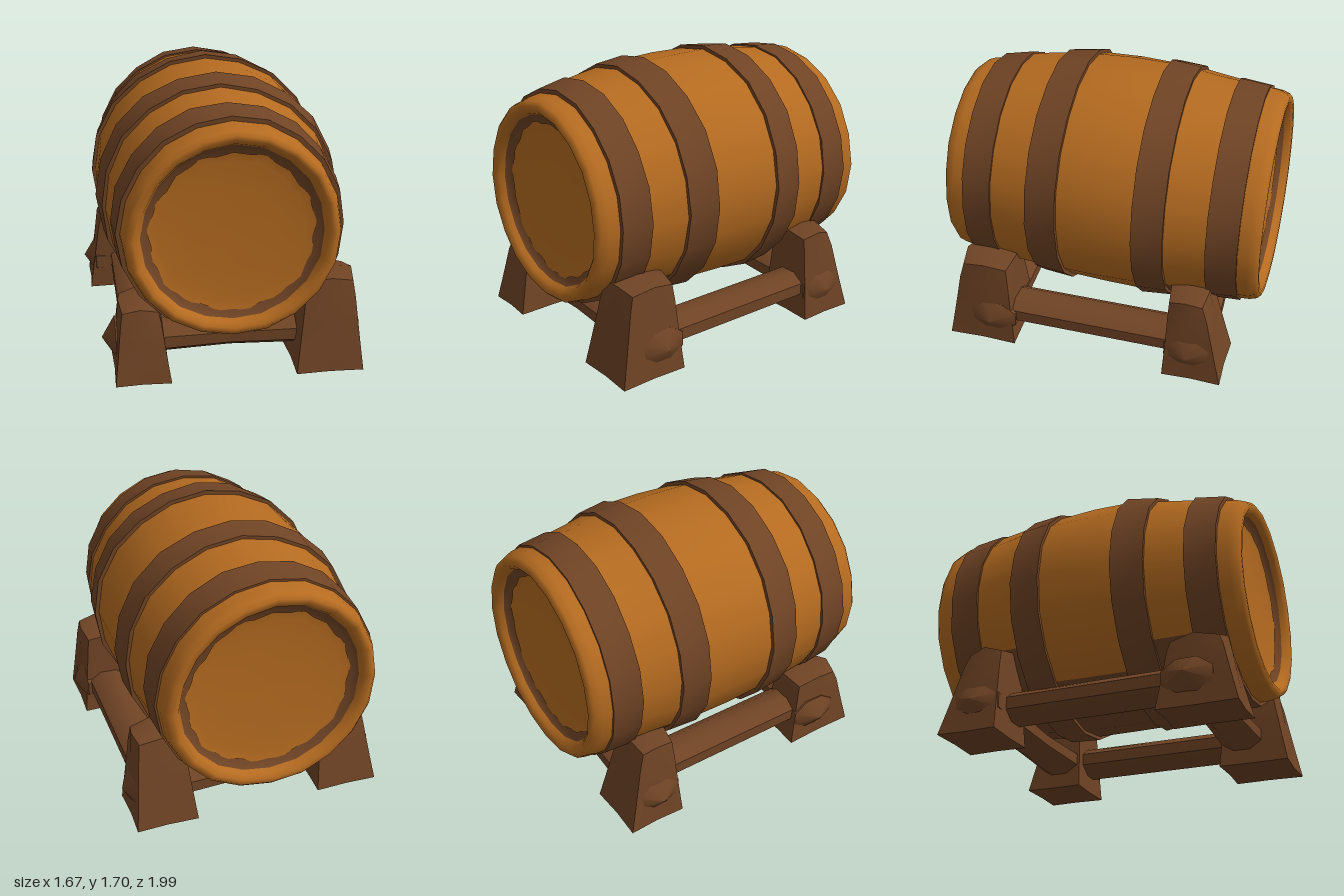
import * as THREE from 'three';
import { toCreasedNormals } from 'three/addons/utils/BufferGeometryUtils.js';

const V = (r, z) => new THREE.Vector2(r, z);
const SIDES = 20;

// Moves every vertex of a geometry by a rule
function warp(geo, rule) {
  const p = geo.attributes.position;
  const v = new THREE.Vector3();
  for (let i = 0; i < p.count; i++) {
    v.fromBufferAttribute(p, i);
    rule(v);
    p.setXYZ(i, v.x, v.y, v.z);
  }
  return geo;
}

// Places barrel pieces around the barrel axis with a slight hand-hewn wobble
function settle(v) {
  const a = Math.atan2(v.y, v.x);
  const k = 1 + 0.006 * Math.sin(3 * a + 4 * v.z) + 0.004 * Math.sin(7 * a - 9 * v.z);
  v.x = v.x * k - 0.015;
  v.y = v.y * k + 0.96 - 0.028 * v.z * v.z;
}

// Lathe around z, with angle 0 at the underside
function turned(points, start = 0, arc = Math.PI * 2, perTurn = SIDES) {
  const sides = Math.max(1, Math.round((arc / (Math.PI * 2)) * perTurn));
  return new THREE.LatheGeometry(points, sides, start, arc).rotateX(Math.PI / 2);
}

// Gives the painted edge of a barrel head an uneven outline
function roughen(v) {
  const a = Math.atan2(v.y, v.x);
  const k = 1 + 0.016 * Math.sin(17 * a) + 0.012 * Math.sin(7 * a);
  v.x *= k;
  v.y = v.y * k - 0.008;
}

export function createModel() {
  const oak = new THREE.MeshStandardMaterial({ color: 0xb56b20 });
  oak.name = 'orange oak';
  const brown = new THREE.MeshStandardMaterial({ color: 0x704425 });
  brown.name = 'dark brown wood';

  const model = new THREE.Group();
  model.name = 'barrelOnStand';
  const add = (name, geo, mat, parent) => {
    const m = new THREE.Mesh(geo, mat);
    m.name = name;
    parent.add(m);
  };

  // Barrel body: orange staves over a brown underside, in sections that meet beneath the hoops
  const barrel = new THREE.Group();
  barrel.name = 'barrel';
  model.add(barrel);
  const sections = [
    [58, [V(0.67, -0.86), V(0.685, -0.72), V(0.702, -0.56), V(0.725, -0.4)]],
    [38, [V(0.725, -0.4), V(0.735, -0.22), V(0.738, 0), V(0.732, 0.22), V(0.715, 0.4)]],
    [51, [V(0.715, 0.4), V(0.695, 0.55), V(0.675, 0.7), V(0.652, 0.85)]],
  ];
  for (const [degrees, profile] of sections) {
    const low = THREE.MathUtils.degToRad(degrees);
    add('staves', warp(turned(profile, low, Math.PI * 2 - 2 * low), settle), oak, barrel);
    add('underside', warp(turned(profile, -low, 2 * low), settle), brown, barrel);
  }

  // Hoops: [back z, front z, back radius, front radius]
  const hoops = [[-0.87, -0.68, 0.688, 0.702], [-0.43, -0.24, 0.742, 0.757],
    [0.23, 0.43, 0.757, 0.732], [0.67, 0.86, 0.693, 0.67]];
  for (const [z0, z1, r0, r1] of hoops) {
    const g = turned([V(r0 - 0.04, z0), V(r0, z0), V(r1, z1), V(r1 - 0.04, z1)]);
    add('hoop', toCreasedNormals(warp(g, settle), 0.8), brown, barrel);
  }

  // Ends: rounded rim, sloping brown inner wall and slightly dished orange head
  const rim = [V(0.645, 0.84), V(0.638, 0.93), V(0.624, 0.975), V(0.602, 0.997), V(0.575, 0.995),
    V(0.55, 0.975), V(0.535, 0.945)];
  const wallProfile = [V(0.535, 0.945), V(0.508, 0.912), V(0.43, 0.89)];
  const headProfile = [V(0.485, 0.914), V(0.43, 0.902), V(0.25, 0.893), V(0, 0.89)];
  for (const [side, turn, grow] of [['front', 0, 1], ['back', Math.PI, 1.05]]) {
    const place = (g) => warp(g.scale(grow, grow, 1).rotateY(turn), settle);
    add(side + 'Rim', place(turned(rim)), oak, barrel);
    add(side + 'InnerWall', place(turned(wallProfile)), brown, barrel);
    const head = warp(turned(headProfile, 0, Math.PI * 2, 60), roughen);
    add(side + 'Head', place(head), oak, barrel);
  }

  // Stand
  const stand = new THREE.Group();
  stand.name = 'stand';
  model.add(stand);

  // Tapered leg between a bottom and a top rectangle [x0, x1, z0, z1]:
  // corners are sharp at the foot and rounded at the top
  function leg(name, bottom, top, height) {
    const mix = THREE.MathUtils.lerp;
    const g = warp(new THREE.BoxGeometry(1, 1, 1, 2, 4, 2), (v) => {
      const t = v.y + 0.5;
      const corner = Math.abs(v.x) > 0.4 && Math.abs(v.z) > 0.4;
      const edge = Math.abs(v.x) > 0.4 || Math.abs(v.z) > 0.4;
      const k = corner ? mix(0.98, 0.86, t) : mix(0.94, 1, t);
      const [x0, x1, z0, z1] = bottom.map((b, i) => mix(b, top[i], t));
      v.x = mix(x0, x1, v.x * k + 0.5);
      v.z = mix(z0, z1, v.z * k + 0.5);
      v.y = 0.01 + t * (height - 0.01) - (t > 0.9 && edge ? (corner ? 0.05 : 0.02) : 0);
    });
    add(name, toCreasedNormals(g, 0.8), brown, stand);
  }
  leg('frontLeftLeg', [0.37, 0.79, 0.52, 0.97], [0.43, 0.75, 0.55, 0.88], 0.61);
  leg('frontRightLeg', [-0.72, -0.38, 0.48, 0.97], [-0.68, -0.43, 0.54, 0.88], 0.48);
  leg('backLeftLeg', [0.4, 0.8, -0.84, -0.46], [0.44, 0.75, -0.71, -0.47], 0.6);
  leg('backRightLeg', [-0.81, -0.4, -0.84, -0.46], [-0.74, -0.44, -0.71, -0.47], 0.58);

  // Broad cross beams with blunt points swelling out of the legs
  for (const [name, z, right, left] of [['frontCrossBeam', 0.67, 0.78, 0.83], ['backCrossBeam', -0.62, 0.84, 0.83]]) {
    const pts = [V(0, -right), V(0.115, 0.08 - right), V(0.1, -0.5), V(0.085, 0),
      V(0.1, 0.5), V(0.115, left - 0.07), V(0, left)];
    const g = new THREE.LatheGeometry(pts, 8, Math.PI / 8).rotateZ(-Math.PI / 2);
    g.scale(1, 1, 1.45).translate(0, 0.195, z);
    add(name, toCreasedNormals(g, 0.9), brown, stand);
  }

  // Broad side beams running front to back
  for (const [name, x] of [['leftSideBeam', 0.61], ['rightSideBeam', -0.53]]) {
    const g = new THREE.CylinderGeometry(0.098, 0.098, 1.25, 8, 1).rotateY(Math.PI / 8);
    g.rotateX(Math.PI / 2).scale(1.4, 1, 1).translate(x, 0.21, 0.05);
    add(name, toCreasedNormals(g, 0.9), brown, stand);
  }
  return model;
}
